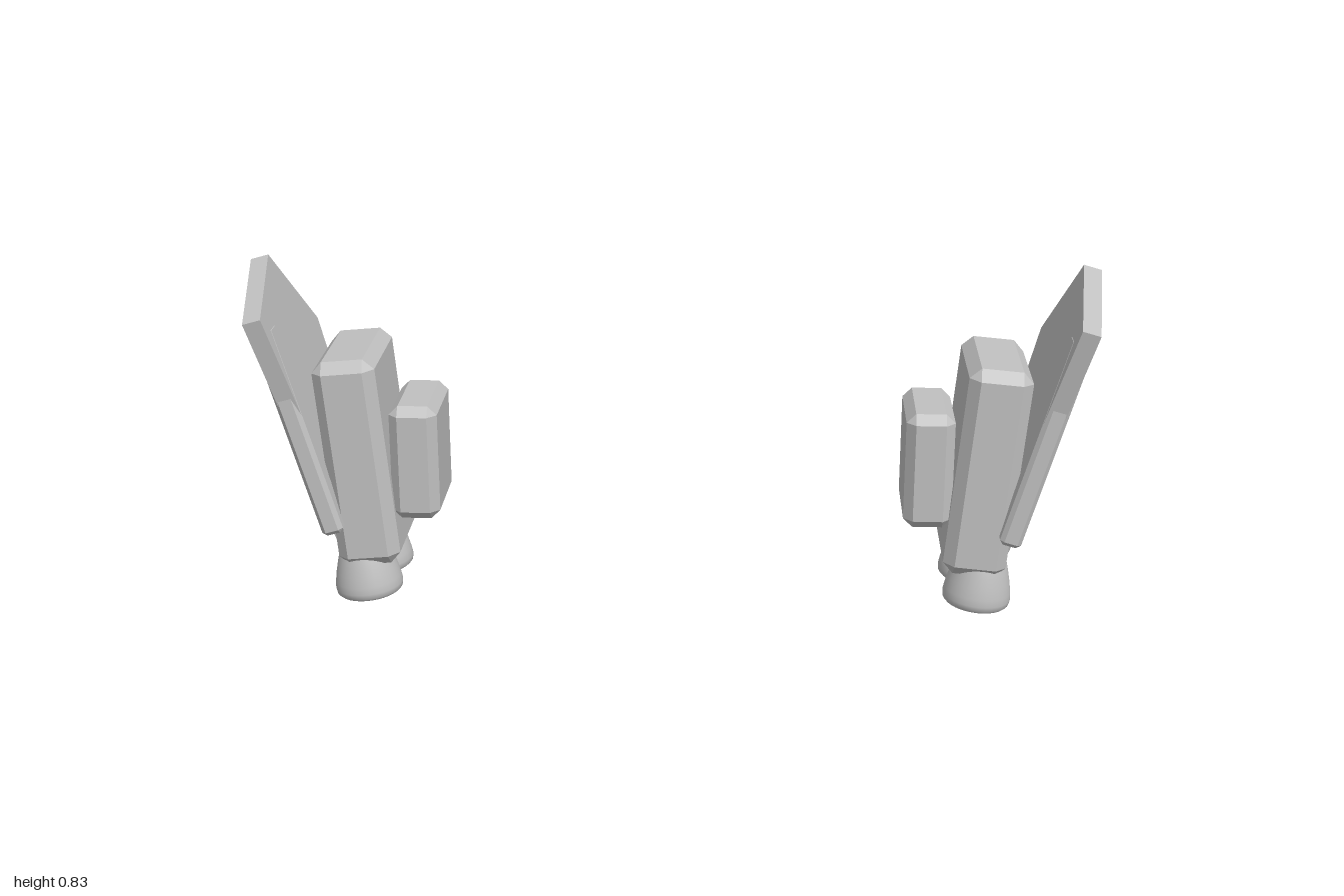
import * as THREE from 'three';
import { ConvexGeometry } from 'three/addons/geometries/ConvexGeometry.js';

const TILT = 0.09; // outward lean of the thruster body
const FIN_TILT = 0.28; // outward lean of the fin

// Box with chamfered edges and corners
function chamferBox(w, h, d, c) {
  const points = [];
  for (const x of [-1, 1]) for (const y of [-1, 1]) for (const z of [-1, 1]) {
    const a = w / 2, b = h / 2, e = d / 2;
    points.push(
      new THREE.Vector3(x * a, y * (b - c), z * (e - c)),
      new THREE.Vector3(x * (a - c), y * b, z * (e - c)),
      new THREE.Vector3(x * (a - c), y * (b - c), z * e),
    );
  }
  return new ConvexGeometry(points);
}

function addMesh(parent, name, geometry, material, x = 0, y = 0, z = 0) {
  const mesh = new THREE.Mesh(geometry, material);
  mesh.name = name;
  mesh.position.set(x, y, z);
  parent.add(mesh);
  return mesh;
}

// Bell-shaped exhaust with a flat closed base
function nozzleGeometry() {
  const profile = [
    [0, 0], [0.074, 0], [0.074, 0], [0.08, 0.006], [0.082, 0.018], [0.08, 0.035],
    [0.075, 0.06], [0.067, 0.09], [0.058, 0.12], [0.045, 0.15], [0, 0.17],
  ].map(([r, y]) => new THREE.Vector2(r, y));
  return new THREE.LatheGeometry(profile, 32);
}

// Five-sided fin plate lying in the local yz plane
function finGeometry(thickness) {
  const outline = [[0.175, 0], [0.22, 0.468], [0.01, 0.697], [-0.22, 0.602], [-0.105, 0]];
  const shape = new THREE.Shape(outline.map(([x, y]) => new THREE.Vector2(x, y)));
  const geometry = new THREE.ExtrudeGeometry(shape, { depth: thickness, bevelEnabled: false });
  return geometry.translate(0, 0, -thickness / 2).rotateY(Math.PI / 2);
}

function createThruster(side, grey) {
  const thruster = new THREE.Group();
  thruster.name = side > 0 ? 'leftThruster' : 'rightThruster';

  // Leaning main body
  const body = addMesh(thruster, 'body', chamferBox(0.15, 0.518, 0.3, 0.026), grey, side * 0.747, 0.351);
  body.rotation.z = -side * TILT;

  // Pair of exhausts under the body
  for (const z of [-0.078, 0.08]) {
    const nozzle = addMesh(thruster, 'nozzle', nozzleGeometry(), grey, side * 0.737, 0.007, z);
    nozzle.rotation.z = -side * TILT;
  }

  // Upright block on the inner side
  addMesh(thruster, 'innerBlock', chamferBox(0.115, 0.285, 0.235, 0.022), grey, side * 0.611, 0.35, 0.01);

  // Fin plate with a raised rail along its front edge
  const fin = new THREE.Group();
  fin.name = 'fin';
  fin.position.set(side * 0.808, 0.145, 0);
  fin.rotation.z = -side * FIN_TILT;
  addMesh(fin, 'finPlate', finGeometry(0.044), grey, -side * 0.022);
  addMesh(fin, 'finRail', chamferBox(0.052, 0.53, 0.056, 0.01), grey, -side * 0.019, 0.305, 0.152);
  thruster.add(fin);

  return thruster;
}

export function createModel() {
  const model = new THREE.Group();
  model.name = 'thrusterPair';
  const grey = new THREE.MeshStandardMaterial({ color: 0xc0c0c0 });
  grey.name = 'light grey';
  for (const side of [1, -1]) model.add(createThruster(side, grey));
  return model;
}
